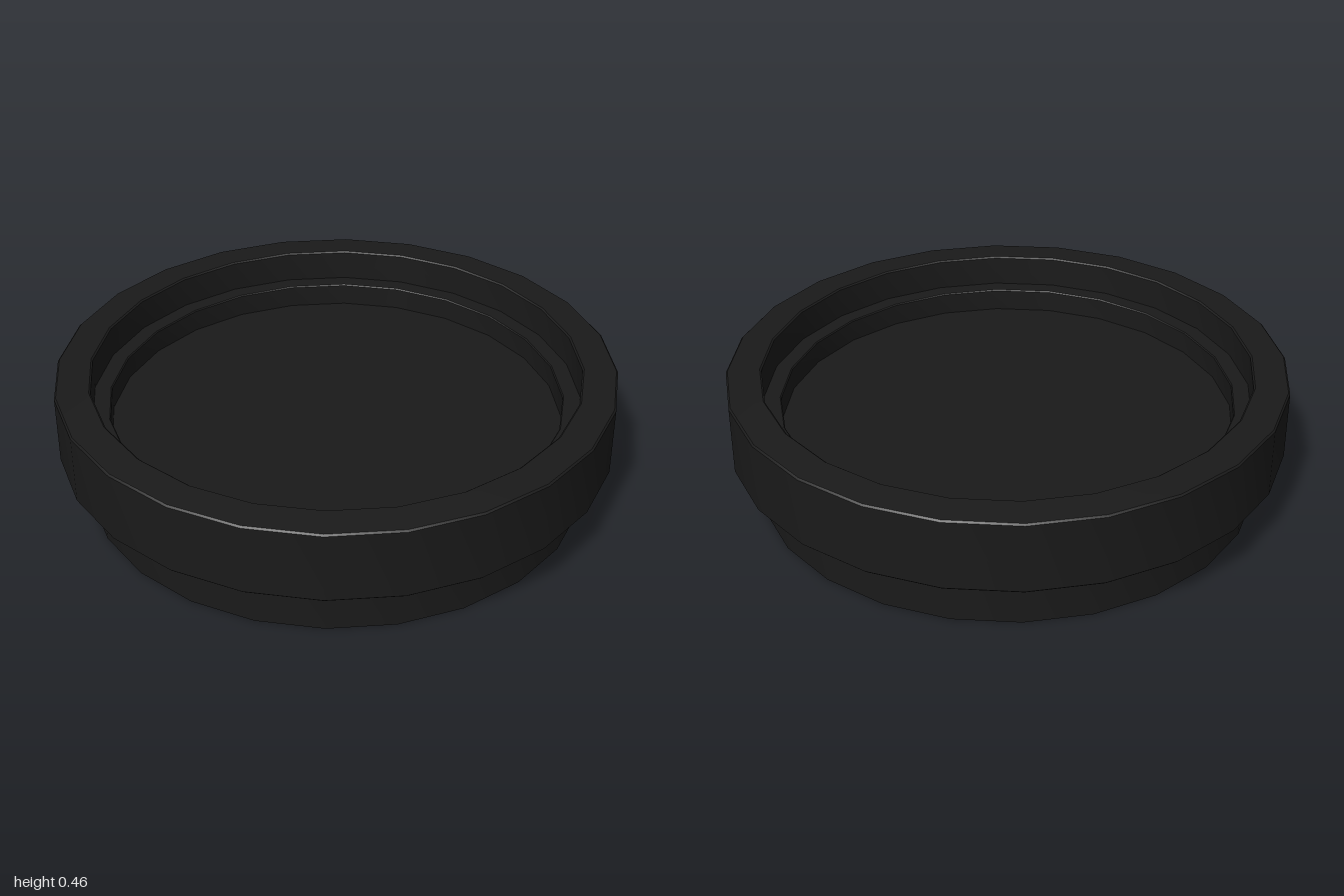
import * as THREE from 'three';
import { toCreasedNormals } from 'three/addons/utils/BufferGeometryUtils.js';

const SIDES = 24;

// Turns a [radius, height] profile into a solid with crisp rings and smooth walls
function turned(name, profile, material) {
  const points = profile.map(([r, y]) => new THREE.Vector2(r, y));
  const geometry = toCreasedNormals(new THREE.LatheGeometry(points, SIDES), 0.5);
  const mesh = new THREE.Mesh(geometry, material);
  mesh.name = name;
  return mesh;
}

export function createModel() {
  const group = new THREE.Group();
  group.name = 'roundCap';
  const material = new THREE.MeshStandardMaterial({ color: 0x1a1a1a });

  // One continuous shell, traced from the underside, round the rim, to the recessed floor
  group.add(turned('capBody', [
    // base plug
    [0, 0], [0.905, 0], [0.905, 0.18], [0.915, 0.19],
    // wide flange with softened edges
    [0.994, 0.19], [1, 0.196], [1, 0.446], [0.994, 0.452],
    // rim top, rising slightly to the inner lip
    [0.88, 0.457], [0.874, 0.452],
    // inner ledge
    [0.874, 0.34], [0.816, 0.34], [0.812, 0.336],
    // recessed floor
    [0.812, 0.255], [0, 0.255],
  ], material));

  return group;
}
